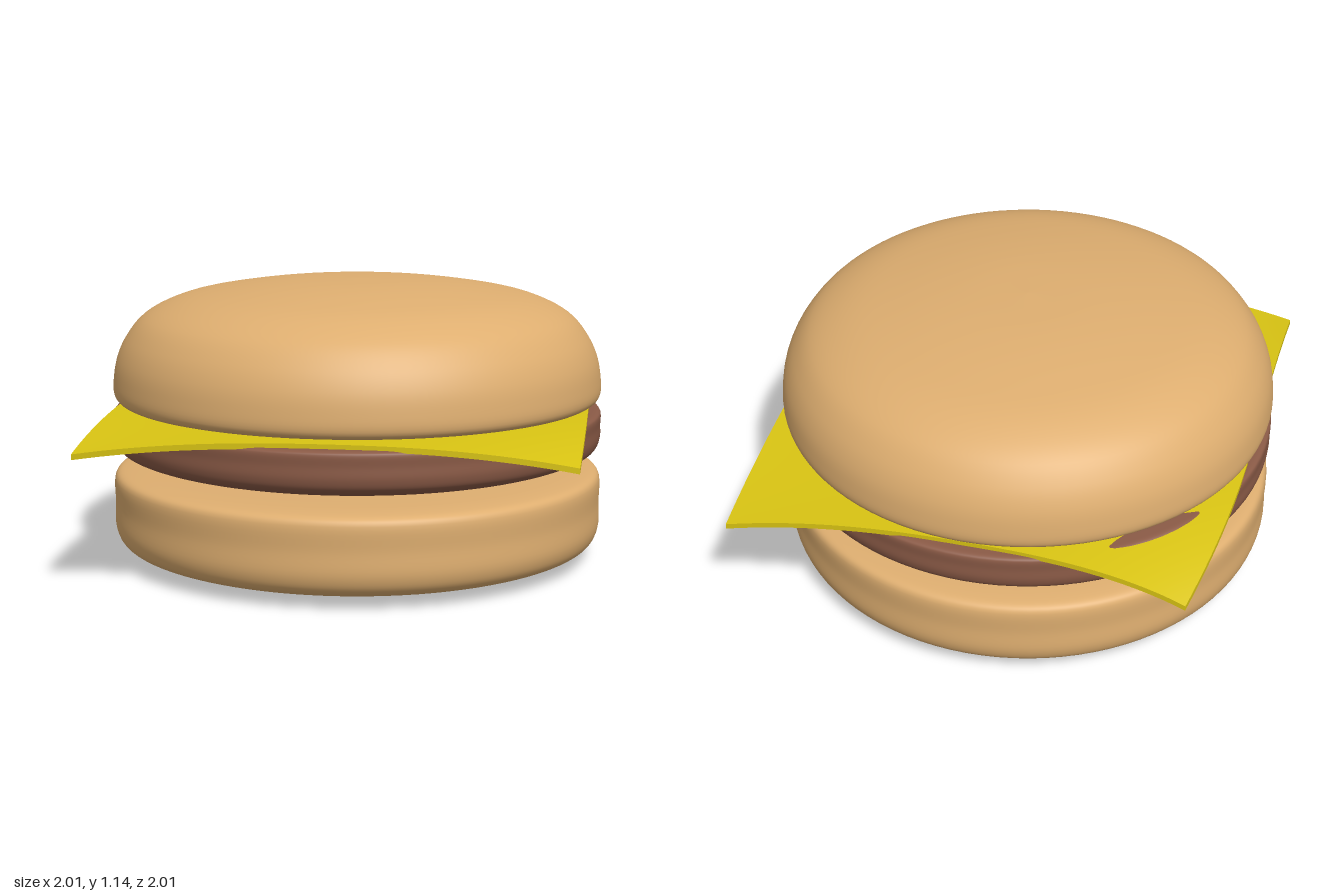
import * as THREE from 'three';

const paint = (color) => new THREE.MeshStandardMaterial({ color });
const bread = paint(0xdeae70);
const meat = paint(0x8a5a46);
const yellow = paint(0xd9c413);

// Round layer turned from a smoothed [radius, height] profile, bottom to top
function roundLayer(name, profile, material) {
  const curve = new THREE.CatmullRomCurve3(profile.map(([r, y]) => new THREE.Vector3(r, y, 0)));
  const points = curve.getPoints(60).map((p) => new THREE.Vector2(Math.max(p.x, 0), p.y));
  const mesh = new THREE.Mesh(new THREE.LatheGeometry(points, 96), material);
  mesh.name = name;
  return mesh;
}

// Square slice whose four corners sag, each by its own amount
function cheeseSlice() {
  const half = 0.952;
  const corners = { // shift in x, drop in y, shift in z
    '1,1': [-0.012, 0.067, -0.032],
    '-1,1': [-0.008, 0.067, -0.032],
    '1,-1': [0, 0.082, -0.033],
    '-1,-1': [0.102, 0.102, -0.028],
  };
  const geometry = new THREE.BoxGeometry(2, 0.022, 2, 32, 1, 32);
  const pos = geometry.attributes.position;
  for (let i = 0; i < pos.count; i++) {
    const u = pos.getX(i), v = pos.getZ(i);
    const [dx, drop, dz] = corners[`${u < 0 ? -1 : 1},${v < 0 ? -1 : 1}`];
    const w = Math.pow(Math.abs(u * v), 2.4);
    const y = 0.62 - 0.0035 * (u * u + v * v) - drop * w;
    pos.setXYZ(i, u * half + dx * w, pos.getY(i) + y, v * half + dz * w);
  }
  geometry.computeVertexNormals();
  const mesh = new THREE.Mesh(geometry, yellow);
  mesh.name = 'cheeseSlice';
  return mesh;
}

export function createModel() {
  const model = new THREE.Group();
  model.name = 'cheeseburger';

  model.add(roundLayer('bottomBun', [
    [0, 0], [0.5, 0.006], [0.78, 0.02], [0.91, 0.042], [0.975, 0.075], [1, 0.13],
    [1, 0.23], [1, 0.33], [0.985, 0.353], [0.93, 0.366], [0.7, 0.373], [0, 0.376],
  ], bread));

  model.add(roundLayer('patty', [
    [0, 0.375], [0.5, 0.385], [0.8, 0.405], [0.94, 0.437], [0.985, 0.462], [1, 0.5],
    [1, 0.55], [1, 0.597], [0.99, 0.606], [0.95, 0.61], [0.6, 0.611], [0, 0.611],
  ], meat));

  model.add(cheeseSlice());

  model.add(roundLayer('topBun', [
    [0, 0.633], [0.7, 0.636], [0.92, 0.643], [0.98, 0.654], [0.998, 0.68], [0.997, 0.75],
    [0.982, 0.825], [0.945, 0.905], [0.875, 0.988], [0.74, 1.056], [0.53, 1.1],
    [0.27, 1.129], [0, 1.137],
  ], bread));

  return model;
}
